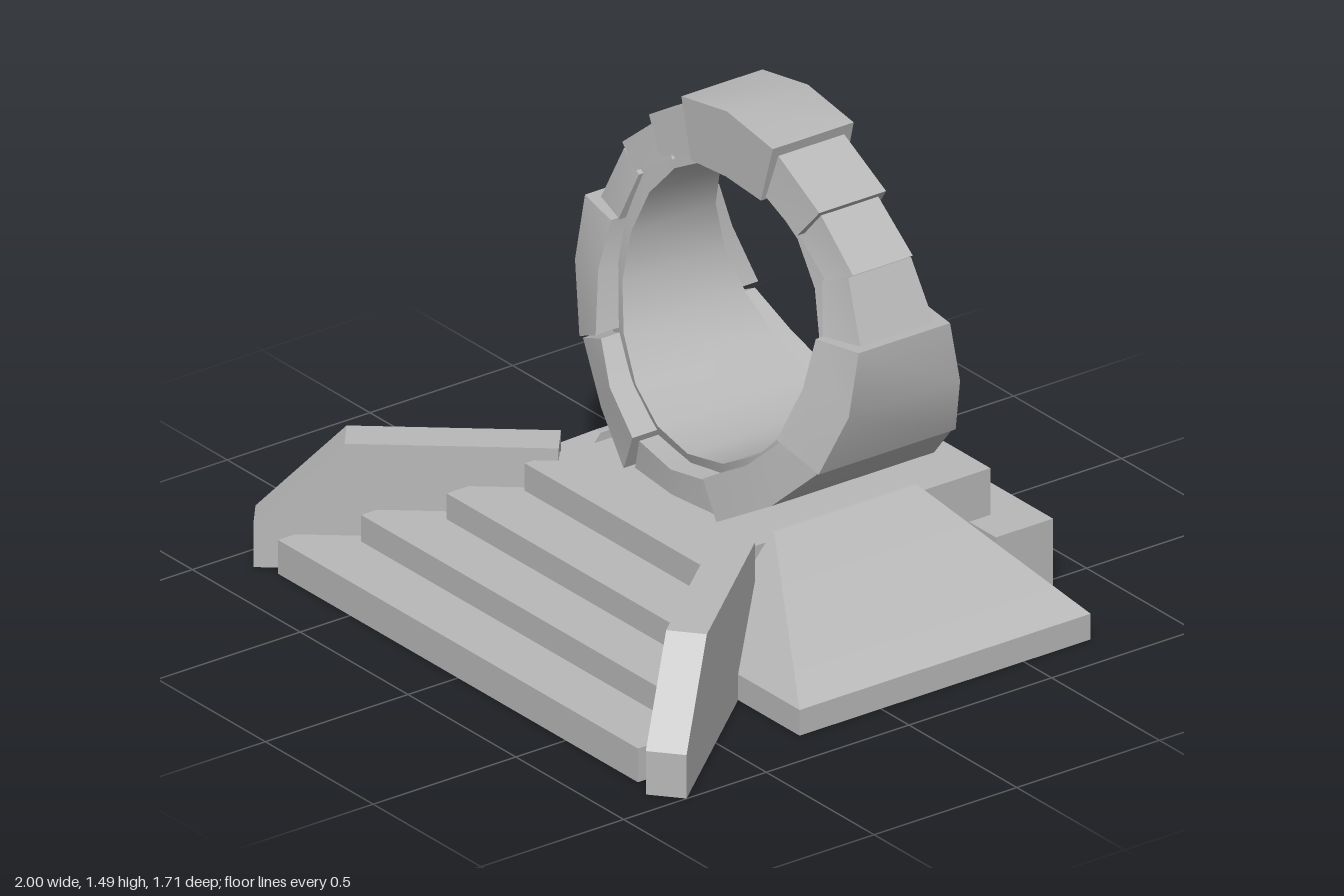
import * as THREE from 'three';
import { toCreasedNormals } from 'three/addons/utils/BufferGeometryUtils.js';

const stone = new THREE.MeshStandardMaterial({ color: 0xb8b8b8 });
stone.name = 'grey stone';

const RING_Z = -0.26;

// Skins a row of equal-sized sections; open rows get flat caps
function loft(sections, closed = false) {
  const pos = [];
  const n = sections[0].length;
  const tri = (a, b, c) => pos.push(...a, ...b, ...c);
  const count = closed ? sections.length : sections.length - 1;
  for (let s = 0; s < count; s++) {
    const a = sections[s], b = sections[(s + 1) % sections.length];
    for (let i = 0; i < n; i++) {
      const j = (i + 1) % n;
      tri(a[i], b[i], b[j]);
      tri(a[i], b[j], a[j]);
    }
  }
  if (!closed) {
    const a = sections[0], b = sections[sections.length - 1];
    for (let i = 1; i < n - 1; i++) {
      tri(a[0], a[i], a[i + 1]);
      tri(b[0], b[i + 1], b[i]);
    }
  }
  const g = new THREE.BufferGeometry();
  g.setAttribute('position', new THREE.Float32BufferAttribute(pos, 3));
  return toCreasedNormals(g, 0.6);
}

// Ring cross-section: outer x, y, inner x, y, outer half depth, inner half depth
const ringSection = ([ox, oy, ix, iy, ho, hi]) => [
  [ox, oy, RING_Z + ho], [ox, oy, RING_Z - ho],
  [ix, iy, RING_Z - hi], [ix, iy, RING_Z + hi],
];
const flip = (rows) => rows.map(([ox, oy, ix, ...r]) => [-ox, oy, -ix, ...r]).reverse();

export function createModel() {
  const model = new THREE.Group();
  const add = (name, geometry) => {
    const mesh = new THREE.Mesh(geometry, stone);
    mesh.name = name;
    model.add(mesh);
    return mesh;
  };
  const box = (name, x0, x1, y0, y1, z0, z1) =>
    add(name, new THREE.BoxGeometry(x1 - x0, y1 - y0, z1 - z0))
      .position.set((x0 + x1) / 2, (y0 + y1) / 2, (z0 + z1) / 2);

  // Platform under the ring and low block behind it
  box('platform', -0.405, 0.405, 0, 0.352, -0.735, 0.285);
  box('rearBlock', -0.53, 0.53, 0, 0.207, -0.86, -0.66);

  // Front steps, narrowing along the splayed walls
  [[0.835, 0.825, 0, 0.105], [0.687, 0.645, 0.105, 0.187], [0.522, 0.47, 0.187, 0.267]]
    .forEach(([w, front, y0, y1], i) => {
      const bend = 0.2 + (w - 0.36) / 0.846;
      const shape = new THREE.Shape([
        [-w, front], [w, front], [w, bend], [0.4, 0.24], [-0.4, 0.24], [-w, bend],
      ].map(([x, z]) => new THREE.Vector2(x, -z)));
      const g = new THREE.ExtrudeGeometry(shape, { depth: y1 - y0, bevelEnabled: false });
      g.rotateX(-Math.PI / 2);
      g.translate(0, y0, 0);
      add('step' + (i + 1), g);
    });

  for (const side of [1, -1]) {
    const label = side > 0 ? 'left' : 'right';

    // Splayed wall with a sloping front end
    const profile = new THREE.Shape([
      [0, 0], [0.855, 0], [0.855, 0.135], [0.6, 0.39], [0, 0.39],
    ].map((p) => new THREE.Vector2(...p)));
    const wall = new THREE.ExtrudeGeometry(profile, { depth: 0.117, bevelEnabled: false });
    wall.translate(0, 0, -0.0585);
    wall.rotateY(-Math.atan2(0.655, side * 0.55));
    wall.translate(side * 0.405, 0, 0.162);
    add(label + 'Wall', wall);

    // Side ramp: plinth rising to a narrow ridge against the platform
    const level = (xOut, y, z0, z1) => {
      const [x0, x1] = [side * 0.39, side * xOut].sort((a, b) => a - b);
      return [[x0, y, z0], [x1, y, z0], [x1, y, z1], [x0, y, z1]];
    };
    add(label + 'Ramp', loft([
      level(0.87, 0, -0.735, 0.285),
      level(0.87, 0.08, -0.735, 0.285),
      level(0.415, 0.378, -0.475, 0.03),
    ]));
  }

  // Ring blocks in the centre plane
  const top = [[0, 1.485, 0, 1.284, 0.142, 0.146], [0.212, 1.45, 0.162, 1.272, 0.142, 0.146]];
  add('topBlock', loft([...flip(top.slice(1)), ...top].map(ringSection)));
  const bottom = [[0.2, 0.34, 0.165, 0.45, 0.315, 0.325], [0, 0.3, 0, 0.43, 0.335, 0.34]];
  add('bottomBlock', loft([...bottom, ...flip(bottom.slice(0, 1))].map(ringSection)));

  // Ring blocks mirrored on both sides, from top to bottom
  const sideBlocks = {
    upperBlock: [
      [0.18, 1.43, 0.14, 1.29, 0.115, 0.13], [0.395, 1.315, 0.32, 1.222, 0.117, 0.137],
    ],
    shoulderBlock: [
      [0.365, 1.31, 0.29, 1.215, 0.1, 0.115], [0.535, 1.172, 0.443, 1.125, 0.105, 0.13],
    ],
    flankBlock: [
      [0.52, 1.16, 0.425, 1.12, 0.11, 0.13], [0.605, 0.975, 0.475, 0.97, 0.13, 0.165],
    ],
    middleBlock: [
      [0.635, 0.985, 0.475, 0.976, 0.16, 0.19], [0.635, 0.795, 0.475, 0.835, 0.195, 0.235],
      [0.555, 0.6, 0.42, 0.668, 0.24, 0.285],
    ],
    lowerBlock: [
      [0.545, 0.597, 0.415, 0.655, 0.235, 0.27], [0.395, 0.453, 0.315, 0.555, 0.285, 0.315],
      [0.215, 0.35, 0.163, 0.467, 0.342, 0.35],
    ],
  };
  for (const [name, rows] of Object.entries(sideBlocks)) {
    add('left_' + name, loft(rows.map(ringSection)));
    add('right_' + name, loft(flip(rows).map(ringSection)));
  }

  // Continuous inner lining that widens towards the bottom
  const lining = [];
  for (let i = 0; i < 18; i++) {
    const a = (i / 18) * Math.PI * 2;
    const s = Math.sin(a), c = Math.cos(a);
    const t = (1 - c) / 2;
    const half = 0.1 + 0.07 * t + 0.11 * t * t;
    lining.push(ringSection([0.53 * s, 0.873 + 0.49 * c, 0.443 * s, 0.873 + 0.412 * c, half * 0.9, half]));
  }
  add('ringLining', loft(lining, true));

  return model;
}
